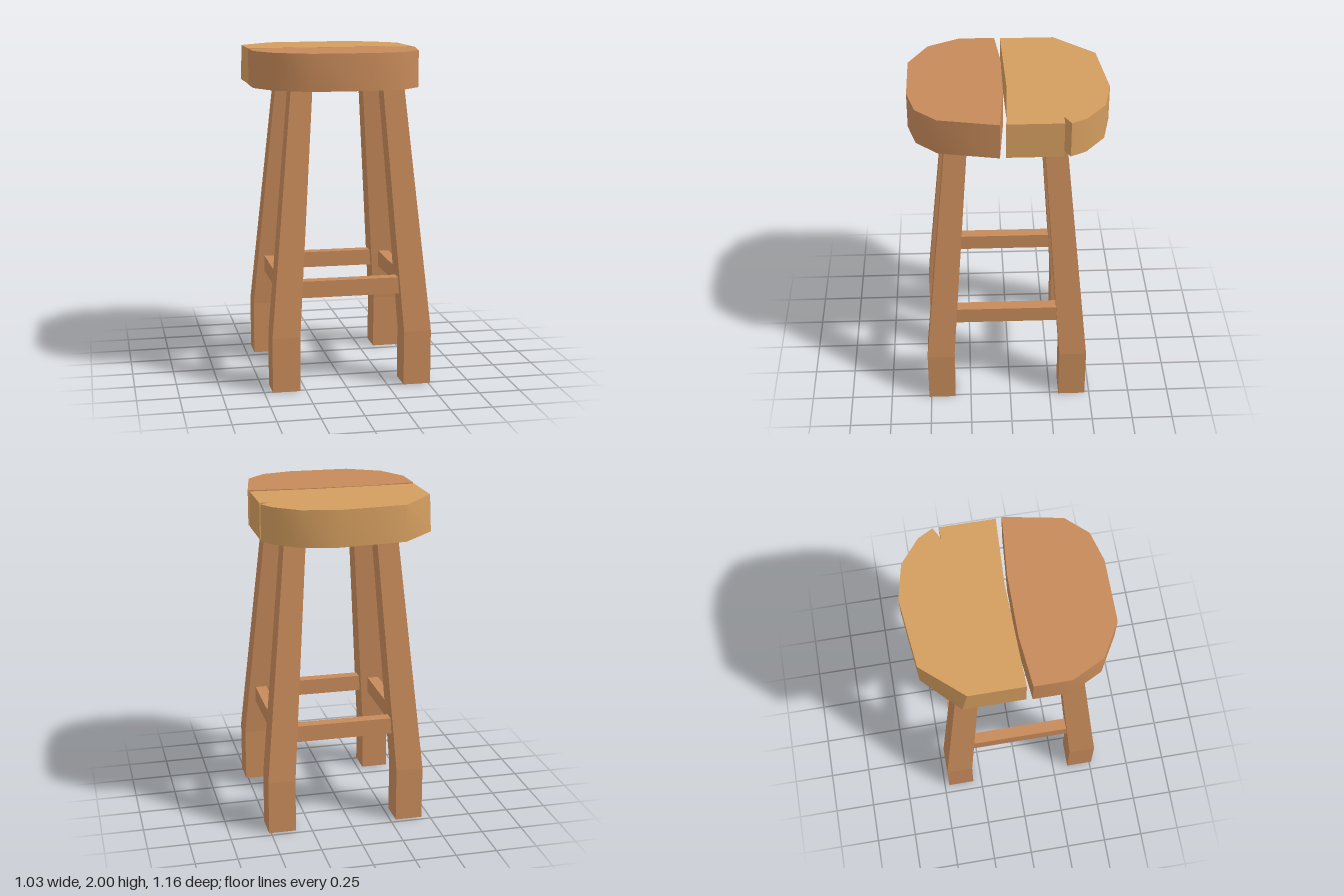
import * as THREE from 'three';
import { toCreasedNormals } from 'three/addons/utils/BufferGeometryUtils.js';

const SEAT_TOP = 2, SEAT_BOTTOM = 1.785;

export function createModel() {
  const stool = new THREE.Group();
  stool.name = 'stool';
  const brownWood = new THREE.MeshStandardMaterial({ name: 'brownWood', color: 0xc68a5a });
  const paleWood = new THREE.MeshStandardMaterial({ name: 'paleWood', color: 0xd29c5e });

  const add = (name, geometry, material) => {
    const mesh = new THREE.Mesh(geometry, material);
    mesh.name = name;
    stool.add(mesh);
    return mesh;
  };

  // Seat boards: [x, z] outlines extruded downwards from the seat top
  const seatBoard = (outline) => {
    const shape = new THREE.Shape(outline.map(([x, z]) => new THREE.Vector2(x, z)));
    return new THREE.ExtrudeGeometry(shape, { depth: SEAT_TOP - SEAT_BOTTOM, bevelEnabled: false })
      .rotateX(Math.PI / 2)
      .translate(0, SEAT_TOP, 0);
  };

  const front = seatBoard([
    [-0.515, 0.06], [-0.22, 0.03], [0.15, 0.03], [0.51, 0.06], [0.445, 0.405],
    [0.33, 0.53], [0.15, 0.58], [-0.22, 0.58], [-0.42, 0.465], [-0.515, 0.275],
  ]);
  add('frontSeatBoard', toCreasedNormals(front, 0.7), brownWood);

  // The back board has a split at its +x side
  const back = seatBoard([
    [-0.51, 0.025], [0.105, 0.007], [0.505, 0.025], [0.505, -0.298], [0.435, -0.298],
    [0.505, -0.335], [0.457, -0.425], [0.315, -0.54], [0.107, -0.585], [-0.3, -0.54], [-0.51, -0.3],
  ]);
  // Its lower -x corner is slightly fuller than the upper one
  const p = back.attributes.position;
  for (let i = 0; i < p.count; i++) {
    if (p.getY(i) < 1.9 && p.getX(i) < -0.5 && p.getZ(i) < -0.2) p.setZ(i, -0.333);
  }
  add('backSeatBoard', toCreasedNormals(back, 0.7), paleWood);

  // Legs: straight feet, then tapering and leaning inwards; rows are [y, halfWidth, lean 0..1]
  const rows = [[0, 0.083, 0], [0.33, 0.083, 0], [1.79, 0.064, 1]];
  const leg = (foot, head) => {
    const g = new THREE.BoxGeometry(2, 2, 2, 1, 2, 1);
    const v = g.attributes.position;
    for (let i = 0; i < v.count; i++) {
      const [y, half, t] = rows[Math.round(v.getY(i)) + 1];
      v.setXYZ(i,
        THREE.MathUtils.lerp(foot[0], head[0], t) + v.getX(i) * half, y,
        THREE.MathUtils.lerp(foot[1], head[1], t) + v.getZ(i) * half);
    }
    return toCreasedNormals(g, 0.05);
  };
  const xs = { Right: [-0.367, -0.245], Left: [0.43, 0.305] };
  const zs = { front: [0.431, 0.305], back: [-0.388, -0.262] };
  for (const [side, x] of Object.entries(xs)) {
    for (const [end, z] of Object.entries(zs)) {
      add(`${end}${side}Leg`, leg([x[0], z[0]], [x[1], z[1]]), brownWood);
    }
  }

  // Rungs joining the centres of neighbouring legs
  const RUNG_Y = 0.6, x0 = -0.345, x1 = 0.407, z0 = -0.365, z1 = 0.408;
  for (const [name, z] of [['frontRung', z1], ['backRung', z0]]) {
    add(name, new THREE.BoxGeometry(x1 - x0, 0.1, 0.07), brownWood).position.set((x0 + x1) / 2, RUNG_Y, z);
  }
  for (const [name, x] of [['rightRung', x0], ['leftRung', x1]]) {
    add(name, new THREE.BoxGeometry(0.07, 0.1, z1 - z0), brownWood).position.set(x, RUNG_Y, (z0 + z1) / 2);
  }
  return stool;
}
